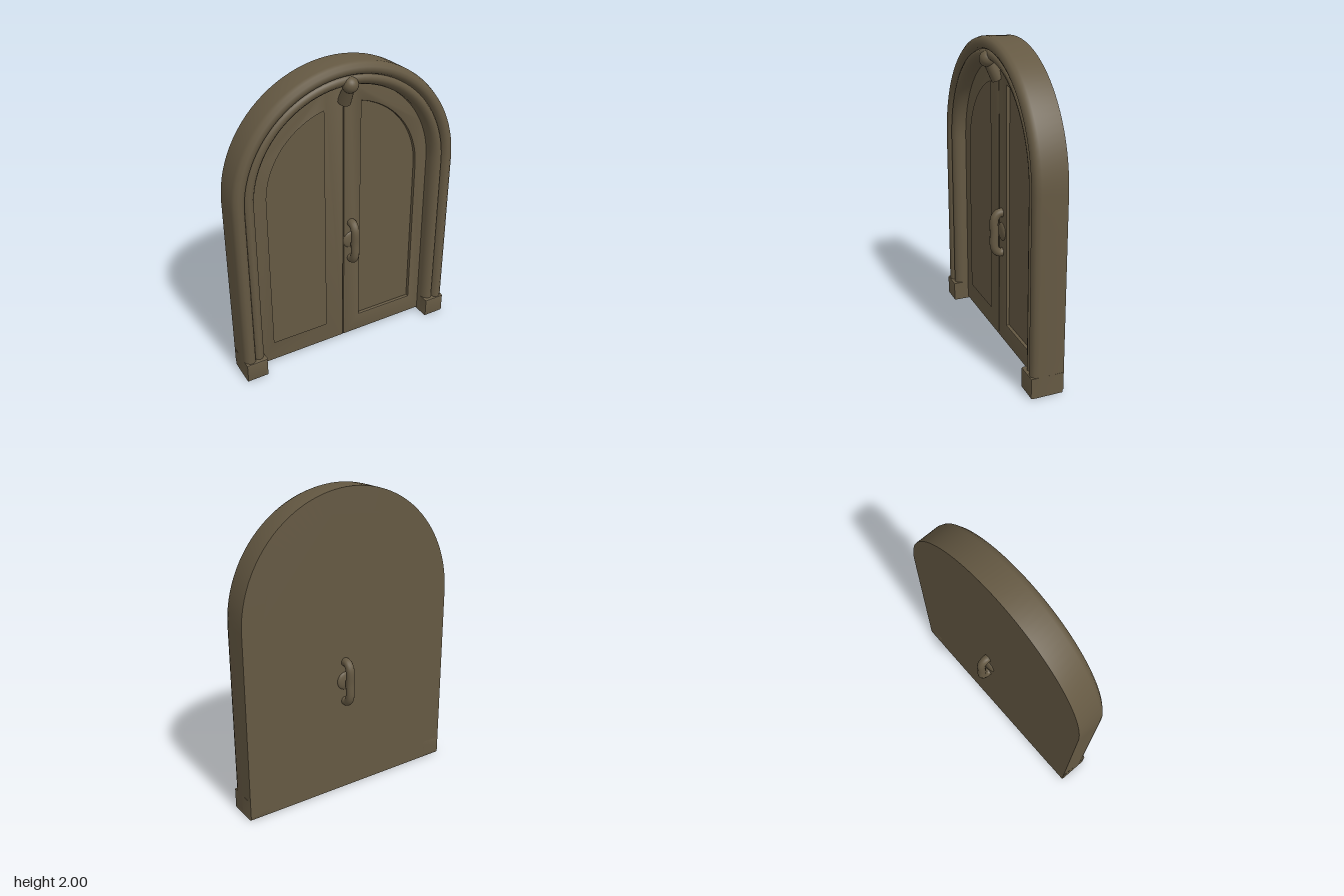
import * as THREE from 'three';
import { toCreasedNormals } from 'three/addons/utils/BufferGeometryUtils.js';

const SPRING = 1.23; // height where the straight legs turn into the arch

// Sweep a closed [radius, z] profile up one leg, over the arch and down the other
function archSweep(profile, bottom) {
  const stations = [];
  for (let i = 0; i <= 6; i++) stations.push([0, bottom + (SPRING - bottom) * i / 6]);
  for (let i = 1; i < 48; i++) stations.push([Math.PI * i / 48, SPRING]);
  for (let i = 0; i <= 6; i++) stations.push([Math.PI, SPRING + (bottom - SPRING) * i / 6]);
  const pos = [], index = [], n = profile.length;
  for (const [a, y] of stations) {
    for (const [r, z] of profile) pos.push(Math.cos(a) * r, y + Math.sin(a) * r, z);
  }
  for (let i = 0; i < stations.length - 1; i++) {
    for (let j = 0; j < n; j++) {
      const k = (j + 1) % n, a = i * n + j, b = a + n, c = i * n + k, d = c + n;
      index.push(a, b, c, b, d, c);
    }
  }
  const geo = new THREE.BufferGeometry();
  geo.setAttribute('position', new THREE.Float32BufferAttribute(pos, 3));
  geo.setIndex(index);
  return toCreasedNormals(geo, 0.75);
}

// Half of an arched outline between x0 and radius r, on the +x or -x side
function halfArch(Type, side, x0, r, y0, cy) {
  const path = new Type();
  const start = Math.acos(x0 / r);
  path.moveTo(side * x0, y0);
  path.lineTo(side * r, y0);
  for (let i = 0; i <= 24; i++) {
    const a = start * i / 24;
    path.lineTo(side * Math.cos(a) * r, cy + Math.sin(a) * r);
  }
  path.closePath();
  return path;
}

export function createModel() {
  const model = new THREE.Group();
  const wood = new THREE.MeshStandardMaterial({ color: 0x655943 });
  wood.name = 'dark brown wood';

  const add = (name, geo, parent = model) => {
    const mesh = new THREE.Mesh(geo, wood);
    mesh.name = name;
    parent.add(mesh);
    return mesh;
  };

  // Arched frame: thick outer roll, groove, thinner inner roll
  add('archFrame', archSweep([
    [0.765, -0.07], [0.768, 0.09], [0.76, 0.115], [0.74, 0.131], [0.72, 0.132],
    [0.70, 0.122], [0.69, 0.1], [0.682, 0.113], [0.665, 0.12], [0.645, 0.113],
    [0.63, 0.095], [0.62, 0.07], [0.62, -0.07],
  ], 0.02));

  // Door slab, flat at the back
  const slabShape = new THREE.Shape();
  slabShape.moveTo(-0.63, 0.005);
  slabShape.lineTo(0.63, 0.005);
  slabShape.absarc(0, SPRING, 0.63, 0, Math.PI, false);
  slabShape.closePath();
  const slab = new THREE.ExtrudeGeometry(slabShape, { depth: 0.08, bevelEnabled: false, curveSegments: 40 });
  slab.translate(0, 0, -0.07);
  add('doorSlab', toCreasedNormals(slab, 0.6));

  for (const side of [1, -1]) {
    const label = side > 0 ? 'left' : 'right';

    // Leaf with a sunk arched panel
    const leaf = halfArch(THREE.Shape, side, 0.001, 0.635, 0.006, SPRING);
    leaf.holes.push(halfArch(THREE.Path, side, 0.125, 0.535, 0.14, 1.2));
    const leafGeo = new THREE.ExtrudeGeometry(leaf, {
      depth: 0.012, bevelThickness: 0.01, bevelSize: 0.01, bevelOffset: -0.01, bevelSegments: 2,
    });
    leafGeo.translate(0, 0, 0.01);
    add(label + 'DoorLeaf', toCreasedNormals(leafGeo, 0.5));

    // Plinth block at the foot of the frame
    const s = new THREE.Shape();
    s.moveTo(-0.063, 0.01);
    s.lineTo(0.063, 0.01);
    s.lineTo(0.063, 0.122);
    s.lineTo(-0.063, 0.122);
    s.closePath();
    const plinth = new THREE.ExtrudeGeometry(s, {
      depth: 0.19, bevelThickness: 0.01, bevelSize: 0.01, bevelSegments: 2,
    });
    plinth.translate(side * 0.694, 0, -0.06);
    add(label + 'Plinth', toCreasedNormals(plinth, 0.5));
  }

  // Pull handles on both faces of the door
  for (const [name, z, dir] of [['frontHandle', 0.03, 1], ['backHandle', -0.07, -1]]) {
    const handle = new THREE.Group();
    handle.name = name;
    handle.position.set(0.055, 0, z);
    const path = new THREE.CatmullRomCurve3([
      [0.64, -0.02], [0.637, 0.025], [0.67, 0.053], [0.77, 0.056],
      [0.87, 0.053], [0.903, 0.025], [0.9, -0.02],
    ].map(([y, d]) => new THREE.Vector3(0, y, d * dir)));
    add('grip', new THREE.TubeGeometry(path, 40, 0.028, 12), handle);
    const plate = add('backPlate', new THREE.SphereGeometry(1, 20, 12), handle);
    plate.position.y = 0.775;
    plate.scale.set(0.058, 0.06, 0.018);
    model.add(handle);
  }

  // Ball ornament at the crown, with a stem leaning back to the door
  const crown = new THREE.Group();
  crown.name = 'crownOrnament';
  const ball = add('ball', new THREE.SphereGeometry(0.049, 24, 16), crown);
  ball.position.set(0, 1.866, 0.105);
  const stem = add('stem', new THREE.CylinderGeometry(0.032, 0.042, 0.14, 20), crown);
  stem.position.set(0, 1.805, 0.07);
  stem.rotation.x = 0.5;
  model.add(crown);

  return model;
}
